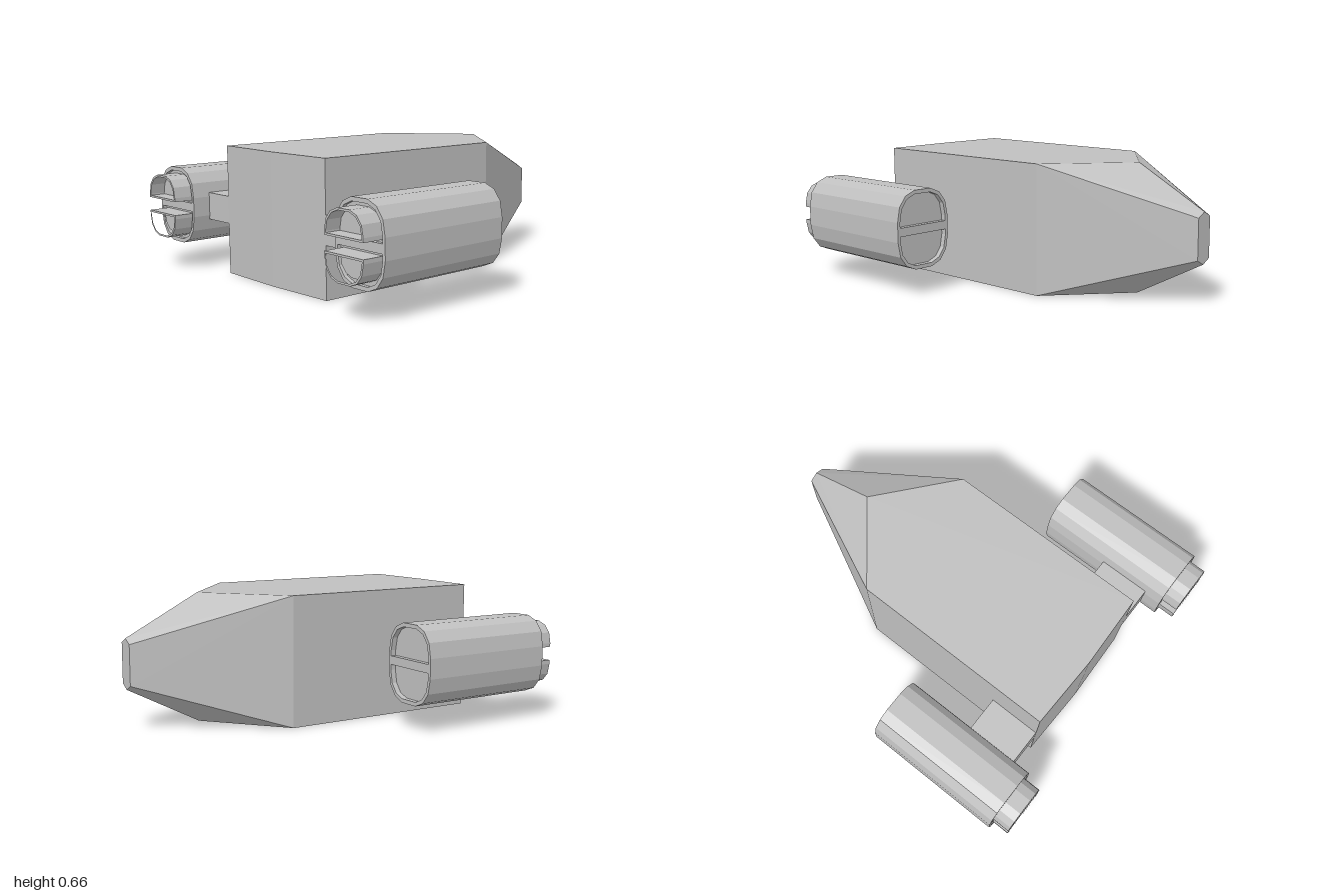
import * as THREE from 'three';
import { ConvexGeometry } from 'three/addons/geometries/ConvexGeometry.js';

const hullGrey = new THREE.MeshStandardMaterial({ color: 0xbfbfbf, flatShading: true });
hullGrey.name = 'hullGrey';

const MID = 0.332;           // height of the centre line
const POD_X = 0.737;

// Faceted corner, as fractions of the corner's width and height
const CORNER = [[0, 1], [0.13, 0.5], [0.48, 0.16], [1, 0]];

function addMesh(parent, name, geometry) {
  const mesh = new THREE.Mesh(geometry, hullGrey);
  mesh.name = name;
  parent.add(mesh);
  return mesh;
}

// Half outline (right to left) of a shape with rounded upper corners
function archPoints(w, top, a, b) {
  const right = CORNER.map(([u, v]) => new THREE.Vector2(w - u * a, top - v * b));
  const left = right.map(p => new THREE.Vector2(-p.x, p.y)).reverse();
  return [...right, ...left];
}

// D-shaped outline; side = 1 for the upper one, -1 for the lower one
function dPoints(w, base, top, a, b, side) {
  const pts = [new THREE.Vector2(-w, base), new THREE.Vector2(w, base), ...archPoints(w, top, a, b)];
  return pts.map(p => new THREE.Vector2(p.x, p.y * side));
}

function extrude(points, holes, z0, z1) {
  const shape = new THREE.Shape(points);
  shape.holes = holes.map(h => new THREE.Path(h));
  const geometry = new THREE.ExtrudeGeometry(shape, { depth: z1 - z0, bevelEnabled: false });
  return geometry.translate(0, 0, z0);
}

// Box body with a slightly bowed stern and a faceted, blunt nose
function createHull() {
  const pts = [];
  for (const s of [-1, 1]) {
    const add = (x, h, z) => pts.push(new THREE.Vector3(x, MID + s * h, z));
    add(0, MID, 0.828);
    add(0, MID, -0.61);
    add(0, 0.128, -1);
    for (const m of [-1, 1]) {
      add(m * 0.394, MID, 0.815);
      add(m * 0.394, MID, -0.28);
      add(m * 0.048, 0.103, -1);
    }
  }
  return new ConvexGeometry(pts);
}

function createPod() {
  const pod = new THREE.Group();
  const upper = archPoints(0.162, 0.2, 0.11, 0.15);
  const lower = upper.map(p => new THREE.Vector2(-p.x, -p.y));
  const openings = [1, -1].map(s => dPoints(0.146, 0.022, 0.18, 0.095, 0.13, s));

  // Casing with a divider bar between two D-shaped bores
  addMesh(pod, 'podCasing', extrude([...upper, ...lower], openings, 0.172, 0.91));

  [1, -1].forEach((s, i) => {
    const label = s > 0 ? 'upper' : 'lower';
    // Core closing the bore a little way in from both ends
    addMesh(pod, label + 'Core', extrude(openings[i], [], 0.2, 0.89));
    // Thin-walled nozzle and its floor
    const outer = dPoints(0.127, 0.035, 0.163, 0.087, 0.108, s);
    const inner = dPoints(0.117, 0.045, 0.153, 0.08, 0.1, s);
    addMesh(pod, label + 'Nozzle', extrude(outer, [inner], 0.88, 1));
    addMesh(pod, label + 'NozzleFloor', extrude(inner, [], 0.88, 0.92));
  });
  return pod;
}

export function createModel() {
  const model = new THREE.Group();
  model.name = 'spacecraft';
  addMesh(model, 'hull', createHull());

  // Engine pods on short struts
  for (const side of [-1, 1]) {
    const label = side > 0 ? 'left' : 'right';
    const pod = createPod();
    pod.name = label + 'EnginePod';
    pod.position.set(side * POD_X, MID, 0);
    model.add(pod);

    const strut = addMesh(model, label + 'Strut', new THREE.BoxGeometry(0.2, 0.142, 0.275));
    strut.position.set(side * 0.483, MID, 0.677);
  }
  return model;
}
